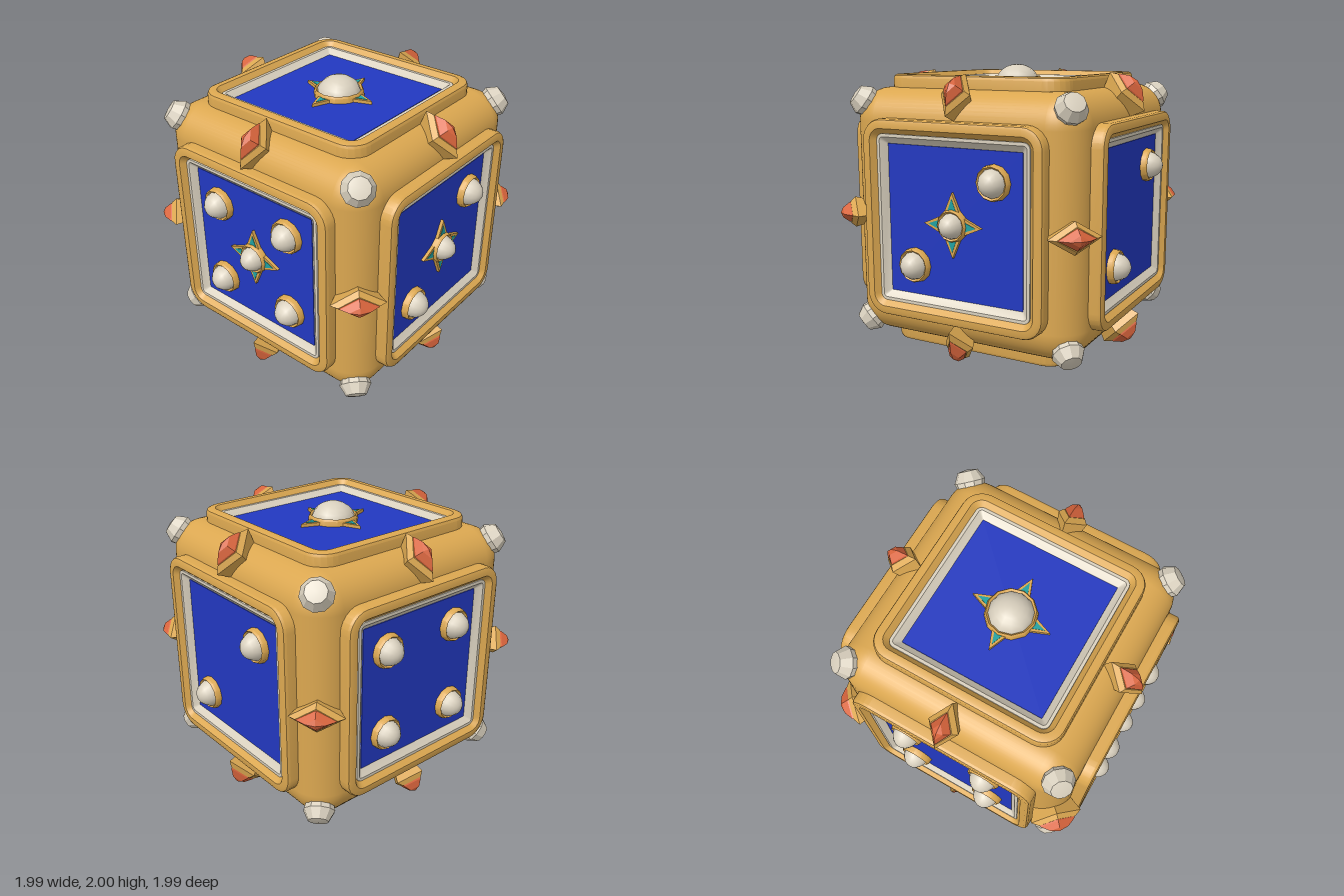
import * as THREE from 'three';
import { toCreasedNormals } from 'three/addons/utils/BufferGeometryUtils.js';
import { RoundedBoxGeometry } from 'three/addons/geometries/RoundedBoxGeometry.js';

const material = (name, color) => {
  const m = new THREE.MeshStandardMaterial({ color });
  m.name = name;
  return m;
};

export function createModel() {
  const gold = material('gold', 0xdba750);
  const bone = material('bone', 0xd9d0be);
  const blue = material('blue', 0x2238c0);
  const red = material('red', 0xd8643c);
  const teal = material('teal', 0x1fa0a0);

  const model = new THREE.Group();
  model.name = 'die';
  const die = new THREE.Group();
  die.name = 'dieParts';
  die.position.y = 1;
  model.add(die);

  const add = (parent, name, geometry, mat, x = 0, y = 0, z = 0) => {
    const mesh = new THREE.Mesh(geometry, mat);
    mesh.name = name;
    mesh.position.set(x, y, z);
    parent.add(mesh);
    return mesh;
  };
  const lathe = (points, sides, crease) => toCreasedNormals(
    new THREE.LatheGeometry(points.map(p => new THREE.Vector2(...p)), sides), crease);

  // Rounded square ring swept from [half width, height] pairs, outside to inside
  function squareRing(profile) {
    const position = [], index = [], steps = 6, count = 4 * (steps + 1);
    for (const [half, height] of profile) {
      const r = Math.max(half - 0.52, 0.012), c = half - r;
      for (let q = 0; q < 4; q++) {
        const mid = Math.PI / 4 + q * Math.PI / 2;
        for (let s = 0; s <= steps; s++) {
          const a = q * Math.PI / 2 + s / steps * Math.PI / 2;
          position.push(Math.sign(Math.cos(mid)) * c + r * Math.cos(a),
            Math.sign(Math.sin(mid)) * c + r * Math.sin(a), height);
        }
      }
    }
    for (let i = 0; i < profile.length - 1; i++) {
      for (let j = 0; j < count; j++) {
        const a = i * count + j, b = i * count + (j + 1) % count;
        index.push(a, b, a + count, b, b + count, a + count);
      }
    }
    const g = new THREE.BufferGeometry();
    g.setAttribute('position', new THREE.Float32BufferAttribute(position, 3));
    g.setIndex(index);
    return toCreasedNormals(g, 0.45);
  }

  // Four-pointed star plate
  function star(tip, inner, depth) {
    const points = [];
    for (let i = 0; i < 8; i++) {
      const r = i % 2 ? inner * Math.SQRT2 : tip, a = i * Math.PI / 4;
      points.push(new THREE.Vector2(r * Math.cos(a), r * Math.sin(a)));
    }
    return new THREE.ExtrudeGeometry(new THREE.Shape(points), { depth, bevelEnabled: false });
  }

  // Body
  add(die, 'body', new RoundedBoxGeometry(1.71, 1.71, 1.71, 6, 0.22), gold);

  // Face parts, each built facing +z
  const PANEL = 0.872;
  const frameGeo = squareRing([[0.665, 0.82], [0.665, 0.915], [0.657, 0.932],
    [0.64, 0.94], [0.602, 0.94], [0.563, 0.895]]);
  const liningGeo = squareRing([[0.568, 0.88], [0.566, 0.908], [0.545, 0.908], [0.495, 0.862]]);
  const panelGeo = new THREE.BoxGeometry(1.0, 1.0, 0.009);
  const domeGeo = new THREE.SphereGeometry(1, 12, 6, 0, Math.PI * 2, 0, Math.PI / 2).rotateX(Math.PI / 2);

  function pip(face, x, y, radius, height, starTip) {
    const group = new THREE.Group();
    group.name = 'pip';
    group.position.set(x, y, PANEL);
    face.add(group);
    add(group, 'pipDome', domeGeo, bone).scale.set(radius, radius, height);
    const outer = radius + 0.021;
    const ring = lathe([[outer, -0.005], [outer - 0.004, 0.032], [radius + 0.008, 0.046],
      [radius - 0.008, 0.03]], 12, 0.6);
    add(group, 'pipRing', ring.rotateX(Math.PI / 2), gold);
    if (starTip) {
      const k = starTip > 0.25 ? 0.08 : 0.066;
      add(group, 'starSetting', star(starTip, k, 0.022), gold);
      add(group, 'starInlay', star(starTip - 0.038, k - 0.017, 0.004), teal, 0, 0, 0.021);
    }
  }

  const H = Math.PI / 2, p = 0.3;
  const faces = [
    ['front', 0, 0, [[-p, p], [p, p], [-p, -p], [p, -p]], true],
    ['left', 0, H, [[p, p], [-p, -p]], true],
    ['back', 0, 2 * H, [[p, p], [-p, -p]], false],
    ['right', 0, -H, [[-p, p], [p, p], [-p, -p], [p, -p]], false],
    ['top', -H, 0, [], false],
    ['bottom', H, 0, [[-p, p], [-p, 0], [-p, -p], [p, p], [p, 0], [p, -p]], false],
  ];
  for (const [name, rx, ry, pips, centre] of faces) {
    const face = new THREE.Group();
    face.name = name + 'Face';
    face.rotation.set(rx, ry, 0);
    die.add(face);
    add(face, 'frame', frameGeo, gold);
    add(face, 'lining', liningGeo, bone);
    add(face, 'panel', panelGeo, blue, 0, 0, PANEL - 0.0045);
    for (const [x, y] of pips) pip(face, x, y, 0.098, 0.123);
    if (centre) pip(face, 0, 0, 0.089, 0.123, 0.215);
    if (name === 'top') pip(face, 0, 0, 0.153, 0.13, 0.28);
  }

  // Gems across the middle of all twelve edges
  const settingGeo = lathe([[0.12, 1.03], [0.138, 1.08], [0.178, 1.172], [0.13, 1.205], [0, 1.205]], 4, 0.1)
    .scale(1, 1, 0.6);
  const gemGeo = lathe([[0.126, 1.2], [0.122, 1.215], [0.065, 1.258], [0, 1.275]], 4, 0.1).scale(1, 1, 0.56);
  for (let axis = 0; axis < 3; axis++) {
    for (const s of [-1, 1]) for (const t of [-1, 1]) {
      const along = new THREE.Vector3().setComponent(axis, 1);
      const out = new THREE.Vector3().setComponent((axis + 1) % 3, s)
        .setComponent((axis + 2) % 3, t).normalize();
      const across = new THREE.Vector3().crossVectors(out, along);
      const group = new THREE.Group();
      group.name = 'edgeGem';
      group.quaternion.setFromRotationMatrix(new THREE.Matrix4().makeBasis(across, out, along));
      die.add(group);
      add(group, 'gemSetting', settingGeo, gold);
      add(group, 'gem', gemGeo, red);
    }
  }

  // Studs on all eight corners
  const studGeo = lathe([[0.085, 1.24], [0.108, 1.33], [0.07, 1.4], [0, 1.41]], 10, 0.5);
  const up = new THREE.Vector3(0, 1, 0);
  for (const x of [-1, 1]) for (const y of [-1, 1]) for (const z of [-1, 1]) {
    add(die, 'cornerStud', studGeo, bone)
      .quaternion.setFromUnitVectors(up, new THREE.Vector3(x, y, z).normalize());
  }

  return model;
}
